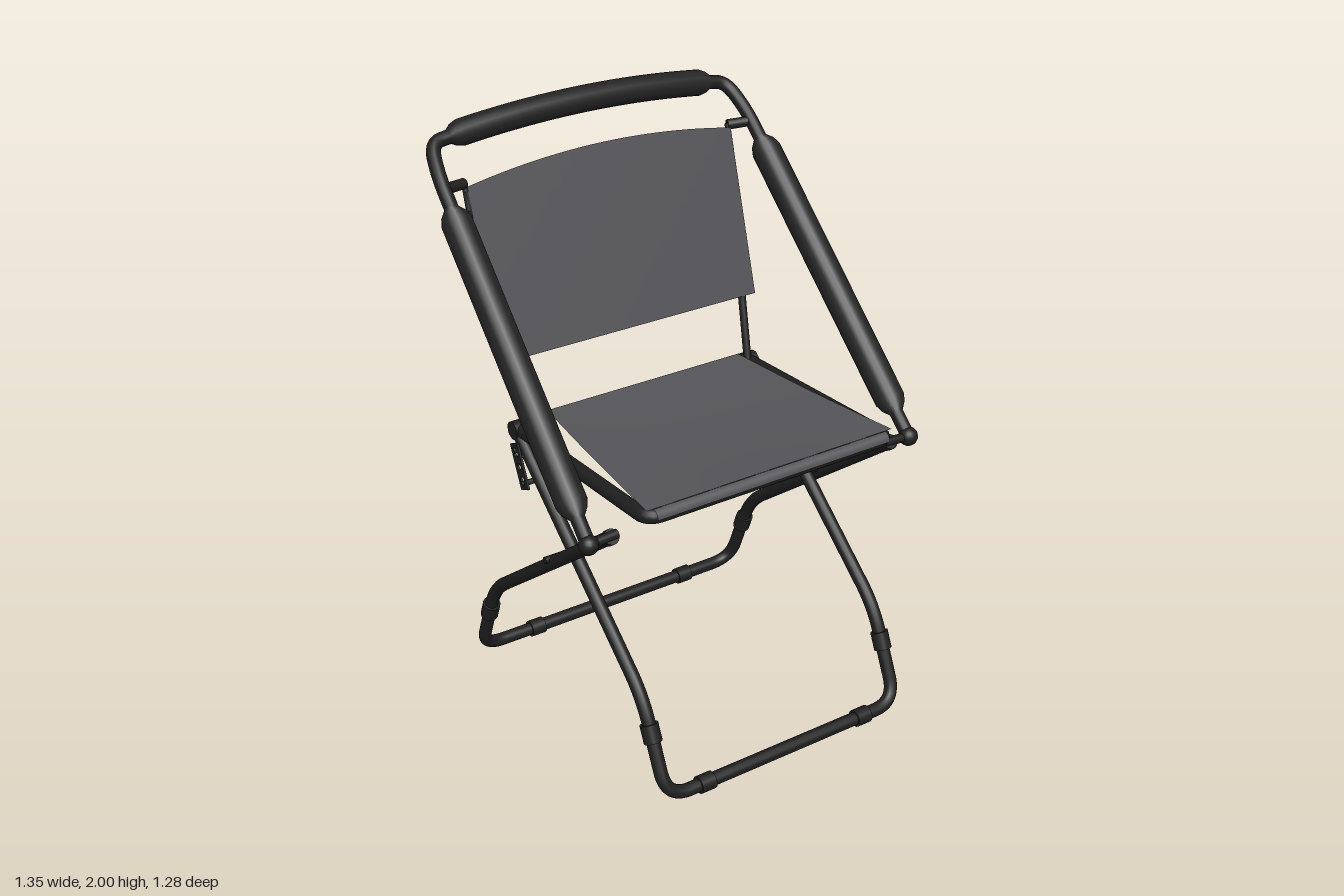
import * as THREE from 'three';

const V = (x, y, z) => new THREE.Vector3(x, y, z);
const mat = (name, color, side = THREE.FrontSide) =>
  Object.assign(new THREE.MeshStandardMaterial({ color, side }), { name });

export function createModel() {
  const metal = mat('black tube', 0x1e1e1f, THREE.DoubleSide);
  const foam = mat('foam black', 0x222223);
  const clothFront = mat('grey cloth', 0x545458);
  const clothBack = mat('dark cloth backing', 0x19191a);

  const model = new THREE.Group();
  model.name = 'foldingChair';
  const add = (name, geo, material) => {
    const mesh = new THREE.Mesh(geo, material);
    mesh.name = name;
    model.add(mesh);
    return mesh;
  };

  // Polyline with rounded corners
  const roundedPath = (pts, r) => {
    const path = new THREE.CurvePath();
    let from = pts[0];
    for (let i = 1; i < pts.length - 1; i++) {
      const p = pts[i];
      const toward = (q) => p.clone().lerp(q, Math.min(0.45, r / p.distanceTo(q)));
      const a = toward(pts[i - 1]), b = toward(pts[i + 1]);
      path.add(new THREE.LineCurve3(from, a));
      path.add(new THREE.QuadraticBezierCurve3(a, p, b));
      from = b;
    }
    path.add(new THREE.LineCurve3(from, pts[pts.length - 1]));
    return path;
  };
  const tube = (name, curve, r, segs = 160) =>
    add(name, new THREE.TubeGeometry(curve, segs, r, 14), metal);

  // Straight capped rod between two points
  const rod = (name, a, b, r, material = metal) => {
    const mesh = add(name, new THREE.CylinderGeometry(r, r, a.distanceTo(b), 16), material);
    mesh.position.copy(a).lerp(b, 0.5);
    mesh.quaternion.setFromUnitVectors(V(0, 1, 0), b.clone().sub(a).normalize());
  };

  // Foam sleeve with tapered ends
  const sleeve = (name, curve, r) => {
    const n = 40, sides = 20;
    const geo = new THREE.TubeGeometry(curve, n, r, sides);
    const pos = geo.attributes.position, p = new THREE.Vector3();
    for (let i = 0; i <= n; i++) {
      const c = curve.getPointAt(i / n);
      const end = Math.min(i, n - i);
      const k = end === 0 ? 0.4 : end === 1 ? 0.82 : 1;
      for (let j = 0; j <= sides; j++) {
        const id = i * (sides + 1) + j;
        p.fromBufferAttribute(pos, id).sub(c).multiplyScalar(k).add(c);
        pos.setXYZ(id, p.x, p.y, p.z);
      }
    }
    add(name, geo, foam);
  };

  // Cloth panel: grey face plus a dark backing just behind it
  const cloth = (name, fn, offset) => {
    const make = (flip) => {
      const geo = new THREE.PlaneGeometry(2, 1, 24, 12);
      const pos = geo.attributes.position;
      for (let i = 0; i < pos.count; i++) {
        const p = fn(pos.getX(i), pos.getY(i) + 0.5);
        if (flip) p.add(offset);
        pos.setXYZ(i, p.x, p.y, p.z);
      }
      if (flip) geo.index.array.reverse();
      geo.computeVertexNormals();
      return geo;
    };
    add(name, make(false), clothFront);
    add(name + 'Backing', make(true), clothBack);
  };

  // Two crossed leg loops
  const legLoop = (name, x, pts) => {
    const right = pts.map(([y, z]) => V(-x, y, z));
    const left = pts.map(([y, z]) => V(x, y, z)).reverse();
    tube(name, roundedPath([...right, ...left], 0.09), 0.023, 280);
    const [, knee, foot] = pts;
    for (const s of [-1, 1]) {
      const at = (t) => V(s * x, knee[0] + (foot[0] - knee[0]) * t, knee[1] + (foot[1] - knee[1]) * t);
      rod(name + 'Collar', at(0.26), at(0.44), 0.031);
      rod(name + 'FootClamp', V(s * 0.295, 0.03, foot[1]), V(s * 0.35, 0.03, foot[1]), 0.03);
    }
  };
  legLoop('frontLegs', 0.473, [[0.98, -0.285], [0.345, 0.47], [0.03, 0.61]]);
  legLoop('rearLegs', 0.548, [[0.945, 0.425], [0.345, -0.36], [0.03, -0.485]]);

  // Upper frame: arms and top rail
  const half = [[0.628, 0.94, 0.42], [0.6, 1.83, -0.495], [0.575, 1.912, -0.59], [0.49, 1.923, -0.593]];
  tube('upperFrame', roundedPath([
    ...half.map(([x, y, z]) => V(-x, y, z)),
    V(-0.25, 1.947, -0.595), V(0, 1.955, -0.595), V(0.25, 1.947, -0.595),
    ...half.map(([x, y, z]) => V(x, y, z)).reverse(),
  ], 0.06), 0.024, 280);
  sleeve('topFoam', new THREE.QuadraticBezierCurve3(
    V(-0.515, 1.92, -0.595), V(0, 1.988, -0.595), V(0.515, 1.92, -0.595)), 0.045);

  // Seat frame
  tube('seatFrame', roundedPath([
    V(-0.467, 0.985, -0.29), V(-0.467, 1.02, 0.503), V(0.467, 1.02, 0.503), V(0.467, 0.985, -0.29),
  ], 0.05), 0.025, 200);

  // Seat cloth, wrapped over the front rail
  cloth('seat', (u, v) => V(
    u * (0.475 - 0.087 * v),
    1.052 - 0.014 * Math.sin(Math.PI * v) * (1 - 0.6 * u * u),
    0.51 - 0.74 * v), V(0, -0.004, 0));
  const wrap = add('seatFrontWrap',
    new THREE.CylinderGeometry(0.029, 0.029, 0.9, 16, 1, true, 0, Math.PI * 0.45), clothFront);
  wrap.rotation.z = Math.PI / 2;
  wrap.position.set(0, 1.022, 0.505);

  // Backrest cloth with arched top edge
  const strutZ = (y) => -0.262 - 0.285 * (y - 1);
  cloth('backrest', (u, v) => {
    const y = 1.225 + v * (0.565 + 0.045 * (1 - u * u));
    return V(u * 0.515, y, strutZ(y) + 0.018);
  }, V(0, 0, -0.004));

  // Drilled latch plate outline
  const plate = new THREE.Shape([[-0.026, -0.08], [0.026, -0.08], [0.026, 0.08], [-0.026, 0.08]]
    .map(([x, y]) => new THREE.Vector2(x, y)));
  for (const y of [-0.045, 0, 0.045]) {
    plate.holes.push(new THREE.Path().absarc(0, y, 0.012, 0, Math.PI * 2, true));
  }

  for (const s of [-1, 1]) {
    // Arm foam, end ball and pivot
    sleeve('armFoam', new THREE.LineCurve3(V(s * 0.626, 1.0, 0.358), V(s * 0.603, 1.755, -0.418)), 0.052);
    add('armEnd', new THREE.SphereGeometry(0.033, 16, 12), metal).position.set(s * 0.628, 0.94, 0.42);
    rod('armPivot', V(s * 0.525, 0.945, 0.418), V(s * 0.628, 0.94, 0.42), 0.016);
    rod('rearLegCap', V(s * 0.548, 0.945, 0.425), V(s * 0.548, 0.93, 0.405), 0.026);

    // Backrest strut with thicker socket and top connector
    rod('backStrut', V(s * 0.452, 0.98, strutZ(0.98)), V(s * 0.51, 1.77, strutZ(1.77)), 0.014);
    rod('strutSocket', V(s * 0.442, 0.85, strutZ(0.85)), V(s * 0.454, 1.0, strutZ(1)), 0.021);
    rod('topConnector', V(s * 0.515, 1.795, -0.49), V(s * 0.6, 1.8, -0.465), 0.018);
    rod('connectorHook', V(s * 0.515, 1.71, strutZ(1.71)), V(s * 0.515, 1.8, -0.49), 0.01);

    // Leg crossing pin and rear hinge
    rod('crossPin', V(s * 0.46, 0.682, 0.058), V(s * 0.58, 0.682, 0.058), 0.012);
    rod('rearHinge', V(s * 0.435, 0.985, -0.28), V(s * 0.495, 0.985, -0.28), 0.032);

    // Latch plate and its pins
    const latch = add('latchPlate', new THREE.ExtrudeGeometry(plate,
      { depth: 0.008, bevelEnabled: false }).translate(0, 0, -0.004).rotateY(Math.PI / 2), metal);
    latch.position.set(s * 0.503, 0.878, -0.222);
    latch.rotation.x = -0.42;
    for (const [y, z] of [[0.93, -0.245], [0.825, -0.198]]) {
      rod('latchPin', V(s * 0.44, y, z), V(s * 0.515, y, z), 0.01);
    }
  }
  return model;
}
